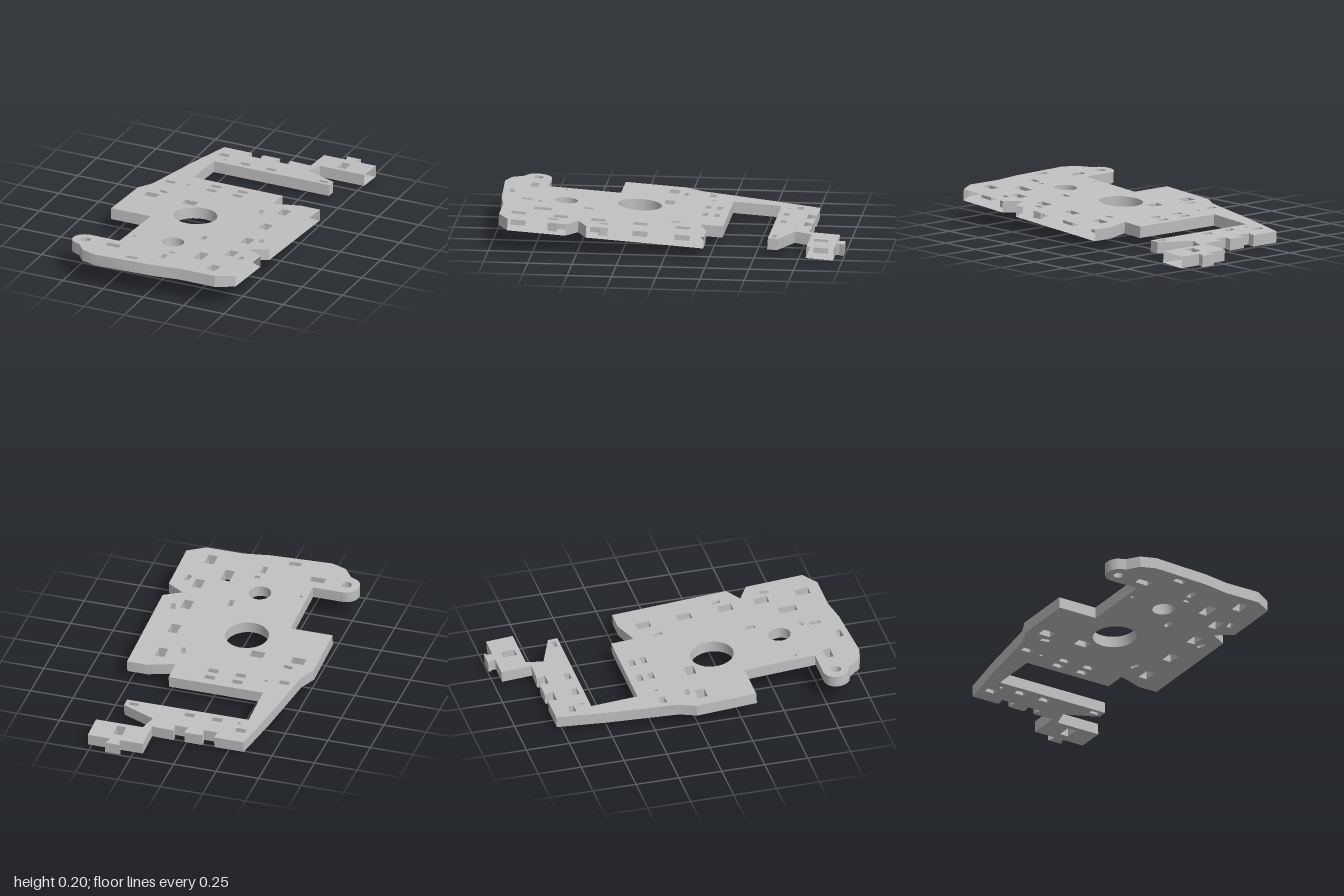
import * as THREE from 'three';
import { toCreasedNormals } from 'three/addons/utils/BufferGeometryUtils.js';

const THICK = 0.066, TILT = -0.067, OPEN_X = 0.52;

// All coordinates below are [x, z] on the plate; the shape plane uses y = -z.
const before = [
  // dovetail tab and rear block
  [0.39, -0.955], [0.39, -0.975], [0.405, -1], [0.315, -1], [0.33, -0.975], [0.33, -0.955],
  [0.197, -0.955], [0.197, -0.78],
  // two dovetail slots on the rear edge
  [0.07, -0.785], [0.07, -0.755], [0.083, -0.735], [-0.005, -0.735], [0.005, -0.755], [0.005, -0.785],
  [-0.1, -0.785], [-0.1, -0.755], [-0.09, -0.735], [-0.18, -0.735], [-0.17, -0.755], [-0.17, -0.785],
  // sloping side and step
  [-0.343, -0.785], [-0.402, -0.5], [-0.468, -0.105], [-0.515, -0.013], [-0.515, 0.335],
  [-0.27, 0.335], [-0.27, 0.745], [-0.445, 0.745],
];
const after = [
  // front edge
  [-0.445, 0.9], [-0.395, 0.965], [-0.305, 0.995], [0.05, 0.975], [0.2, 0.95], [0.42, 0.95],
  // straight side with V notch
  [OPEN_X, 0.89], [OPEN_X, 0.56], [0.42, 0.5], [OPEN_X, 0.445], [OPEN_X, -0.22],
  [0.4, -0.22], [0.25, -0.17], [0.25, -0.3],
  // large cut-out and rear arm
  [-0.305, -0.3], [-0.305, -0.57], [0.41, -0.57], [0.41, -0.625], [0.215, -0.705], [0.245, -0.8],
  [OPEN_X, -0.8], [OPEN_X, -0.955],
];

// Rectangular slots: x, z, width, depth, turn
const slots = [
  [-0.293, -0.68, 0.06, 0.035], [0.36, -0.602, 0.055, 0.025], [0.36, -0.867, 0.055, 0.08],
  [-0.39, -0.175, 0.06, 0.033],
  [-0.365, -0.027, 0.055, 0.025, -0.2], [0.245, -0.03, 0.025, 0.05, 0.3],
  [-0.403, 0.045, 0.08, 0.055], [-0.163, 0.045, 0.08, 0.055],
  [0.43, 0.358, 0.027, 0.05, 0.2], [0.433, 0.643, 0.027, 0.05, -0.2],
  [0.127, 0.475, 0.03, 0.055], [0.225, 0.722, 0.055, 0.1], [0.06, 0.755, 0.035, 0.02],
  [0.043, 0.83, 0.03, 0.06], [-0.275, 0.82, 0.085, 0.043], [-0.107, 0.932, 0.07, 0.03, 0.09],
];
for (const z of [-0.617, -0.24, -0.175]) for (const x of [-0.135, 0.027]) slots.push([x, z, 0.06, 0.033]);
for (const z of [-0.083, 0.155, 0.395, 0.605, 0.845]) slots.push([0.36, z, 0.055, 0.08]);

// Round holes: x, z, radius
const rounds = [
  [-0.053, 0.204, 0.123], [0, 0.613, 0.063], [-0.445, 0.82, 0.028],
  [-0.263, -0.617, 0.01], [-0.285, -0.187, 0.01], [-0.23, 0.642, 0.01],
];

function slotPath([x, z, w, d, turn = 0]) {
  const corners = [[-1, -1], [1, -1], [1, 1], [-1, 1]].map(([i, j]) =>
    new THREE.Vector2(x + i * w / 2, -z + j * d / 2)
      .rotateAround(new THREE.Vector2(x, -z), turn));
  return new THREE.Path([...corners, corners[0].clone()]);
}

function roundPath([x, z, r]) {
  return new THREE.Path().absarc(x, -z, r, 0, Math.PI * 2, false);
}

// Leaves the straight side walls at x = OPEN_X open
function openSide(geometry) {
  const p = geometry.attributes.position, kept = [];
  for (let i = 0; i < p.count; i += 3) {
    if ([0, 1, 2].every(k => p.getX(i + k) > OPEN_X - 0.002)) continue;
    for (let k = 0; k < 3; k++) kept.push(p.getX(i + k), p.getY(i + k), p.getZ(i + k));
  }
  const open = new THREE.BufferGeometry();
  open.setAttribute('position', new THREE.Float32BufferAttribute(kept, 3));
  return open;
}

export function createModel() {
  const grey = new THREE.MeshStandardMaterial({ color: 0xc0c0c0, side: THREE.DoubleSide });
  grey.name = 'plain grey';

  // Outline with the rounded ear between the two point runs
  const outline = new THREE.Shape();
  before.forEach(([x, z], i) => (i ? outline.lineTo(x, -z) : outline.moveTo(x, -z)));
  outline.absarc(-0.445, -0.82, 0.075, Math.PI / 2, 4.07, false);
  after.forEach(([x, z]) => outline.lineTo(x, -z));
  outline.closePath();
  outline.holes.push(...slots.map(slotPath), ...rounds.map(roundPath));

  const solid = new THREE.ExtrudeGeometry(outline, { depth: THICK, bevelEnabled: false, curveSegments: 16 });
  const geometry = toCreasedNormals(openSide(solid), 0.45);
  geometry.rotateX(-Math.PI / 2 + TILT);
  geometry.translate(0, 0.067, 0.004);

  const plate = new THREE.Mesh(geometry, grey);
  plate.name = 'mountingPlate';
  const group = new THREE.Group();
  group.name = 'tiltedPlate';
  group.add(plate);
  return group;
}
